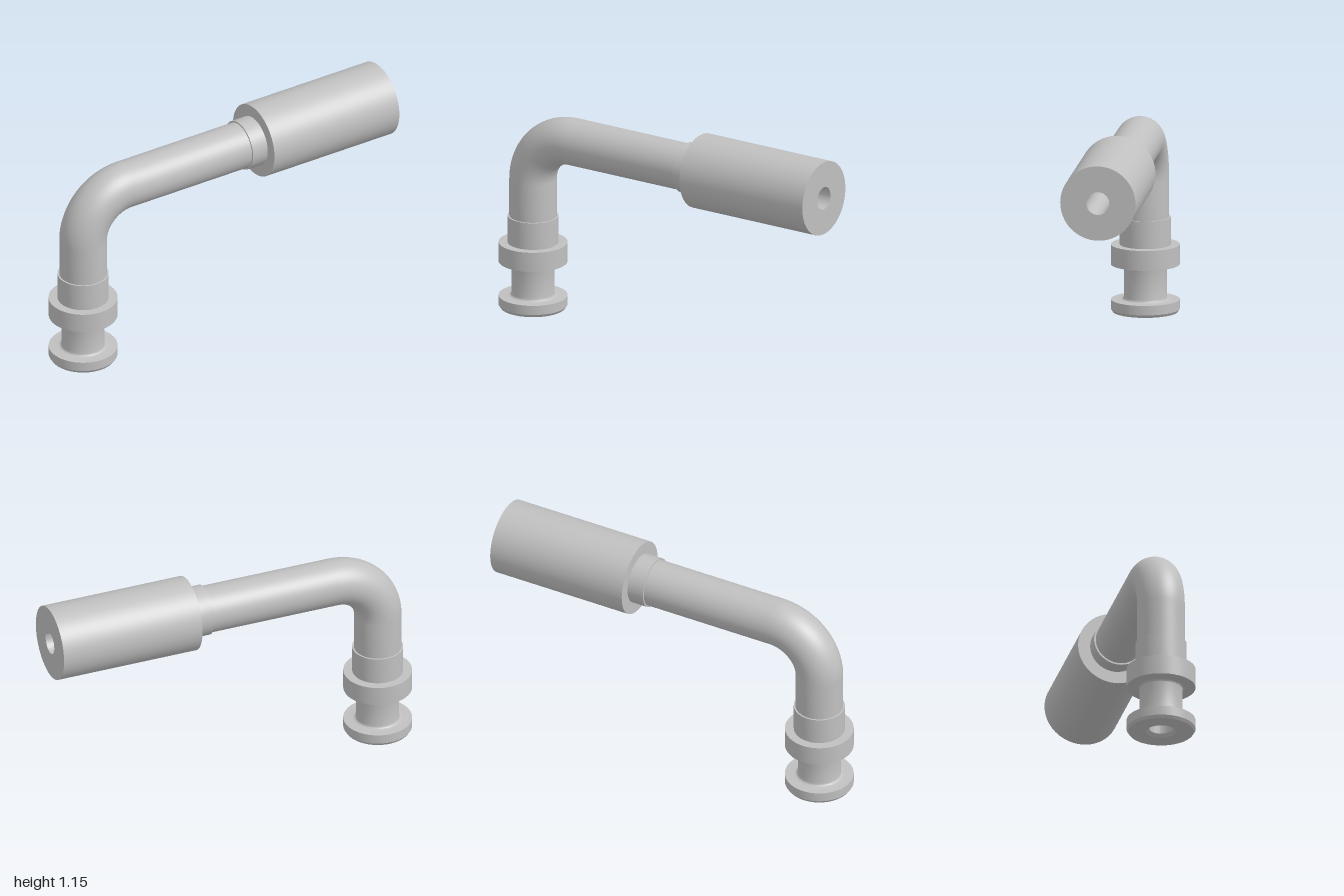
import * as THREE from 'three';
import { toCreasedNormals } from 'three/addons/utils/BufferGeometryUtils.js';

const AXIS_X = -0.822, AXIS_Y = 0.951; // centre lines of the vertical and horizontal legs
const TUBE = 0.123, BORE = 0.06, BEND = 0.25;
const BEND_X = AXIS_X + BEND, BEND_Y = AXIS_Y - BEND;

// Quarter-circle fillet points around (r, y), as [radius, height]
function fillet(r, y, size, from, to, steps = 4) {
  return Array.from({ length: steps + 1 }, (_, i) => {
    const a = from + ((to - from) * i) / steps;
    return [r + size * Math.cos(a), y + size * Math.sin(a)];
  });
}

export function createModel() {
  const group = new THREE.Group();
  const metal = new THREE.MeshStandardMaterial({ color: 0xc0c0c0, side: THREE.DoubleSide });
  metal.name = 'grey metal';

  function add(name, geometry) {
    const mesh = new THREE.Mesh(geometry, metal);
    mesh.name = name;
    group.add(mesh);
    return mesh;
  }
  function turned(name, profile, horizontal = false) {
    const points = profile.map(([r, y]) => new THREE.Vector2(r, y));
    const geometry = toCreasedNormals(new THREE.LatheGeometry(points, 64), 0.5);
    if (horizontal) geometry.rotateZ(-Math.PI / 2).translate(0, AXIS_Y, 0);
    else geometry.translate(AXIS_X, 0, 0);
    return add(name, geometry);
  }
  function elbow(name, radius) {
    const geometry = new THREE.TorusGeometry(BEND, radius, 48, 32, Math.PI / 2);
    geometry.rotateZ(Math.PI / 2).translate(BEND_X, BEND_Y, 0);
    return add(name, geometry);
  }

  // Lower fitting: flanged foot, filleted neck, collar and sleeve
  const f = 0.015, neck = 0.111;
  turned('lowerFitting', [
    [BORE, 0.017], [0.077, 0], [0.168, 0], [0.178, 0.015], [0.178, 0.065],
    ...fillet(neck + f, 0.065 + f, f, 1.5 * Math.PI, Math.PI),
    ...fillet(neck + f, 0.25 - f, f, Math.PI, Math.PI / 2),
    [0.178, 0.25], [0.178, 0.355], [0.132, 0.355], [0.132, 0.5], [TUBE, 0.5],
  ]);

  // Bent tube
  turned('verticalTube', [[TUBE, 0.5], [TUBE, BEND_Y]]);
  elbow('tubeElbow', TUBE);
  turned('horizontalTube', [[TUBE, BEND_X], [TUBE, 0.14]], true);

  // Ferrule ring and thick end sleeve
  turned('ferrule', [[TUBE, 0.14], [0.132, 0.14], [0.132, 0.23]], true);
  turned('endSleeve', [[0.132, 0.23], [0.196, 0.23], [0.196, 1], [BORE, 1]], true);

  // Inner passage running through the whole fitting
  turned('verticalBore', [[BORE, BEND_Y], [BORE, 0.017]]);
  elbow('elbowBore', BORE);
  turned('horizontalBore', [[BORE, 1], [BORE, BEND_X]], true);

  return group;
}
